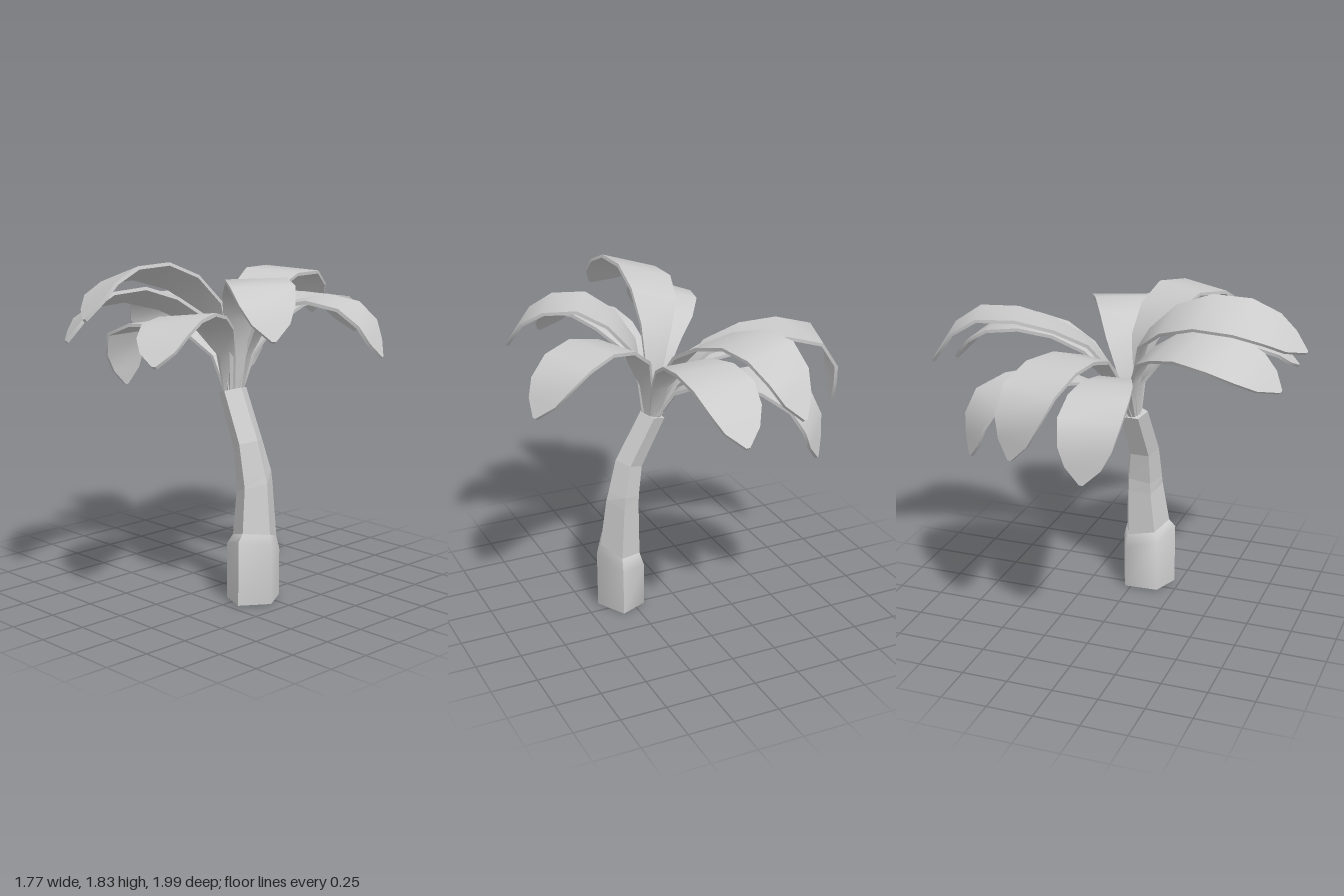
import * as THREE from 'three';
import { toCreasedNormals } from 'three/addons/utils/BufferGeometryUtils.js';

const V = (x, y, z) => new THREE.Vector3(x, y, z);

// Skin a list of equal-sized rings (counter-clockwise about the travel direction) and cap both ends.
function loft(rings, crease) {
  const n = rings[0].length;
  const pos = [];
  const tri = (...pts) => pts.forEach((p) => pos.push(p.x, p.y, p.z));
  for (let r = 0; r < rings.length - 1; r++) {
    for (let i = 0; i < n; i++) {
      const j = (i + 1) % n;
      const a = rings[r][i], b = rings[r][j], c = rings[r + 1][j], d = rings[r + 1][i];
      tri(a, b, c);
      tri(a, c, d);
    }
  }
  const first = rings[0], last = rings[rings.length - 1];
  for (let i = 1; i < n - 1; i++) {
    tri(first[0], first[i + 1], first[i]);
    tri(last[0], last[i], last[i + 1]);
  }
  const geo = new THREE.BufferGeometry();
  geo.setAttribute('position', new THREE.Float32BufferAttribute(pos, 3));
  geo.computeVertexNormals();
  return crease ? toCreasedNormals(geo, crease) : geo;
}

// Five-sided trunk ring, one corner towards +x; kx and kz slope it.
function trunkRing([cx, cy, cz, rx, rz, kx, kz]) {
  return Array.from({ length: 5 }, (_, i) => {
    const a = Math.PI / 2 + (i * Math.PI * 2) / 5;
    const dx = Math.sin(a) * rx, dz = Math.cos(a) * rz;
    return V(cx + dx, cy + kx * dx + kz * dz, cz + dz);
  });
}

const TRUNK = [
  [0.297, 0.005, 0.065, 0.133, 0.163, 0, 0.03],
  [0.297, 0.3, 0.065, 0.133, 0.163, 0.2, 0.32],
  [0.3, 0.36, 0.057, 0.11, 0.134, 0.2, 0.24],
  [0.285, 0.62, 0.045, 0.09, 0.11, 0.35, 0],
  [0.278, 0.68, 0.045, 0.084, 0.108, 0.2, -0.1],
  [0.24, 0.855, 0.055, 0.072, 0.09, 0.3, 0],
  [0.106, 1.12, 0.038, 0.066, 0.086, 0.3, 0],
];

// Position along the frond and half width there
const LEAF = [
  [0, 0.03], [0.16, 0.045], [0.32, 0.09], [0.46, 0.135], [0.6, 0.16],
  [0.74, 0.165], [0.85, 0.14], [0.93, 0.095], [1, 0.01],
];

// Spine points after the crown, ending at the tip, and sideways tilt
const FRONDS = [
  { tilt: 0, spine: [[0.2, 1.45, -0.05], [0.45, 1.62, -0.13], [0.72, 1.57, -0.25], [0.87, 1.35, -0.27]] },
  { tilt: 0, spine: [[0.22, 1.56, 0.08], [0.46, 1.75, 0.21], [0.66, 1.67, 0.35], [0.77, 1.49, 0.41]] },
  { tilt: 0.12, spine: [[0.13, 1.4, 0.12], [0.22, 1.56, 0.42], [0.33, 1.54, 0.7], [0.43, 1.38, 0.87]] },
  { tilt: 0.33, spine: [[0.05, 1.52, 0.1], [-0.04, 1.75, 0.38], [-0.04, 1.75, 0.74], [0.06, 1.58, 0.99]] },
  { tilt: 0.33, spine: [[0.02, 1.42, 0.1], [-0.18, 1.63, 0.42], [-0.24, 1.6, 0.7], [-0.18, 1.44, 0.92]] },
  { tilt: 0, spine: [[-0.08, 1.36, 0.03], [-0.42, 1.43, 0.07], [-0.69, 1.34, 0.09], [-0.74, 1.04, 0.07]] },
  { tilt: 0, spine: [[-0.1, 1.45, -0.05], [-0.48, 1.57, -0.14], [-0.81, 1.47, -0.2], [-0.83, 1.16, -0.27]] },
  { tilt: 0, spine: [[0, 1.28, -0.08], [-0.28, 1.4, -0.35], [-0.48, 1.29, -0.58], [-0.53, 1.02, -0.63]] },
  { tilt: 0.05, spine: [[0.05, 1.44, -0.1], [-0.13, 1.67, -0.45], [-0.2, 1.66, -0.78], [-0.25, 1.41, -0.97]] },
  { tilt: 0, spine: [[0.11, 1.38, -0.12], [0.09, 1.56, -0.42], [0.07, 1.54, -0.77], [0.07, 1.33, -0.99]] },
];

// Thin arching blade swept along its spine
function frondGeometry({ tilt, spine }) {
  const tip = V(...spine[spine.length - 1]);
  const crown = V(0.108, 1.11, 0.035);
  const out = tip.clone().sub(crown).setY(0).normalize();
  const side = V(0, 1, 0).cross(out);
  side.y = tilt;
  side.normalize();
  const start = crown.addScaledVector(out, 0.035);
  const curve = new THREE.CatmullRomCurve3([start, ...spine.map((p) => V(...p))]);
  const rings = LEAF.map(([u, half]) => {
    const p = curve.getPointAt(u);
    const up = curve.getTangentAt(u).cross(side).normalize();
    return [[-1, -1], [1, -1], [1, 1], [-1, 1]].map(([s, h]) =>
      p.clone().addScaledVector(side, s * half).addScaledVector(up, h * 0.009));
  });
  return loft(rings, 0.8);
}

export function createModel() {
  const model = new THREE.Group();
  model.name = 'palmTree';
  const smooth = new THREE.MeshStandardMaterial({ color: 0xcccccc });
  const flat = new THREE.MeshStandardMaterial({ color: 0xcccccc, flatShading: true });
  const add = (name, geometry, material, parent = model) => {
    const mesh = new THREE.Mesh(geometry, material);
    mesh.name = name;
    parent.add(mesh);
  };

  // Thick foot and leaning trunk
  const rings = TRUNK.map(trunkRing);
  add('trunkBase', loft(rings.slice(0, 3), 1.3), smooth);
  add('trunk', loft(rings.slice(2)), flat);

  // Crown of fronds
  const crown = new THREE.Group();
  crown.name = 'crown';
  model.add(crown);
  FRONDS.forEach((f, i) => add(`frond${i + 1}`, frondGeometry(f), smooth, crown));

  return model;
}
